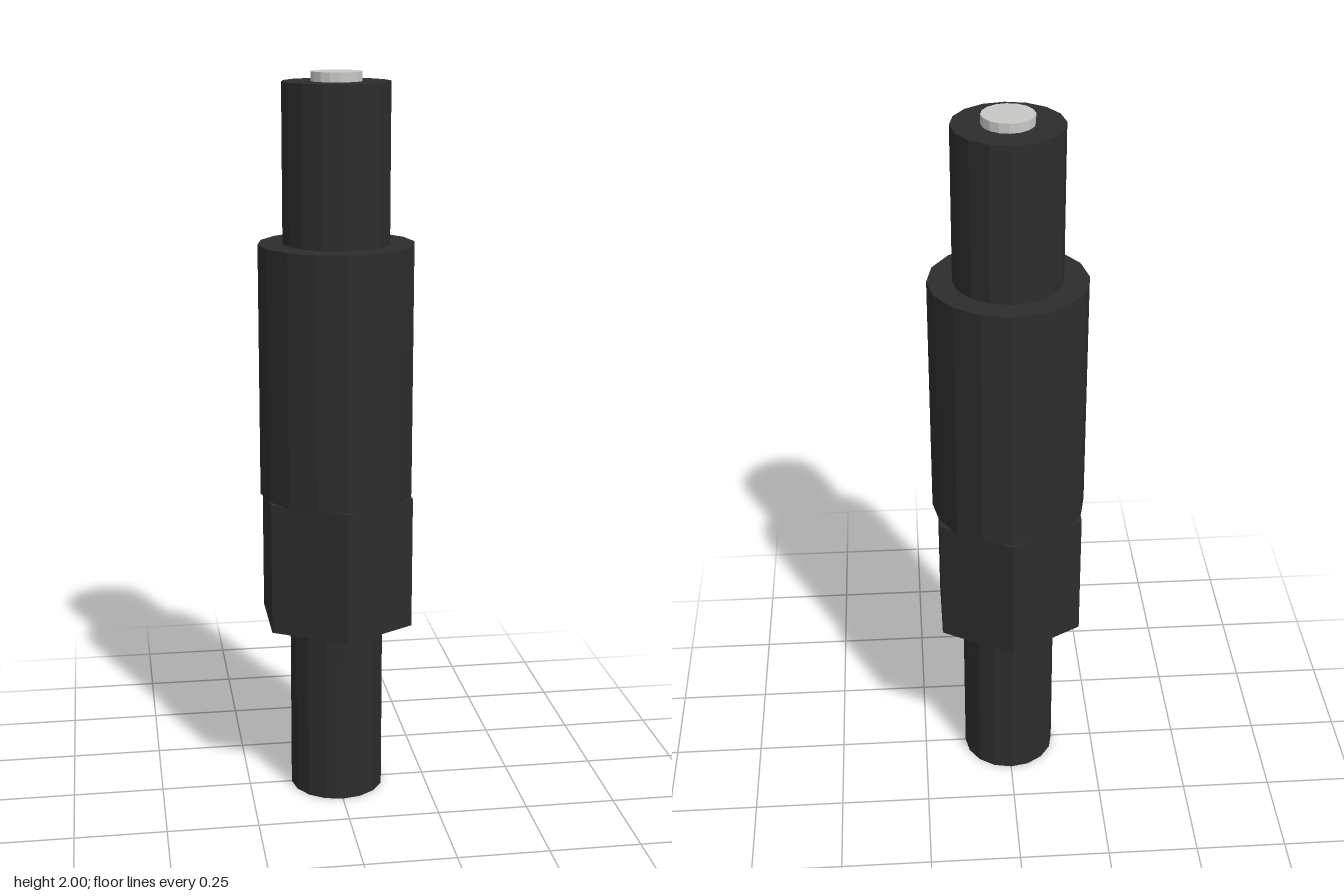
import * as THREE from 'three';

export function createModel() {
  const model = new THREE.Group();
  const black = new THREE.MeshStandardMaterial({ color: 0x2d2d2d, flatShading: true });
  black.name = 'black';
  const silver = new THREE.MeshStandardMaterial({ color: 0xc8c8c6, flatShading: true });
  silver.name = 'silver';

  // Stacked prisms: name, radius, bottom, top, sides, material
  const sections = [
    ['lowerShaft', 0.13, 0, 0.505, 16, black],
    ['hexNut', 0.223, 0.505, 0.87, 6, black],
    ['body', 0.21, 0.87, 1.555, 16, black],
    ['upperShaft', 0.144, 1.555, 1.975, 16, black],
    ['contactTip', 0.068, 1.975, 2, 16, silver],
  ];
  for (const [name, radius, bottom, top, sides, material] of sections) {
    const geometry = new THREE.CylinderGeometry(radius, radius, top - bottom, sides);
    const mesh = new THREE.Mesh(geometry, material);
    mesh.name = name;
    mesh.position.y = (bottom + top) / 2;
    model.add(mesh);
  }
  return model;
}
